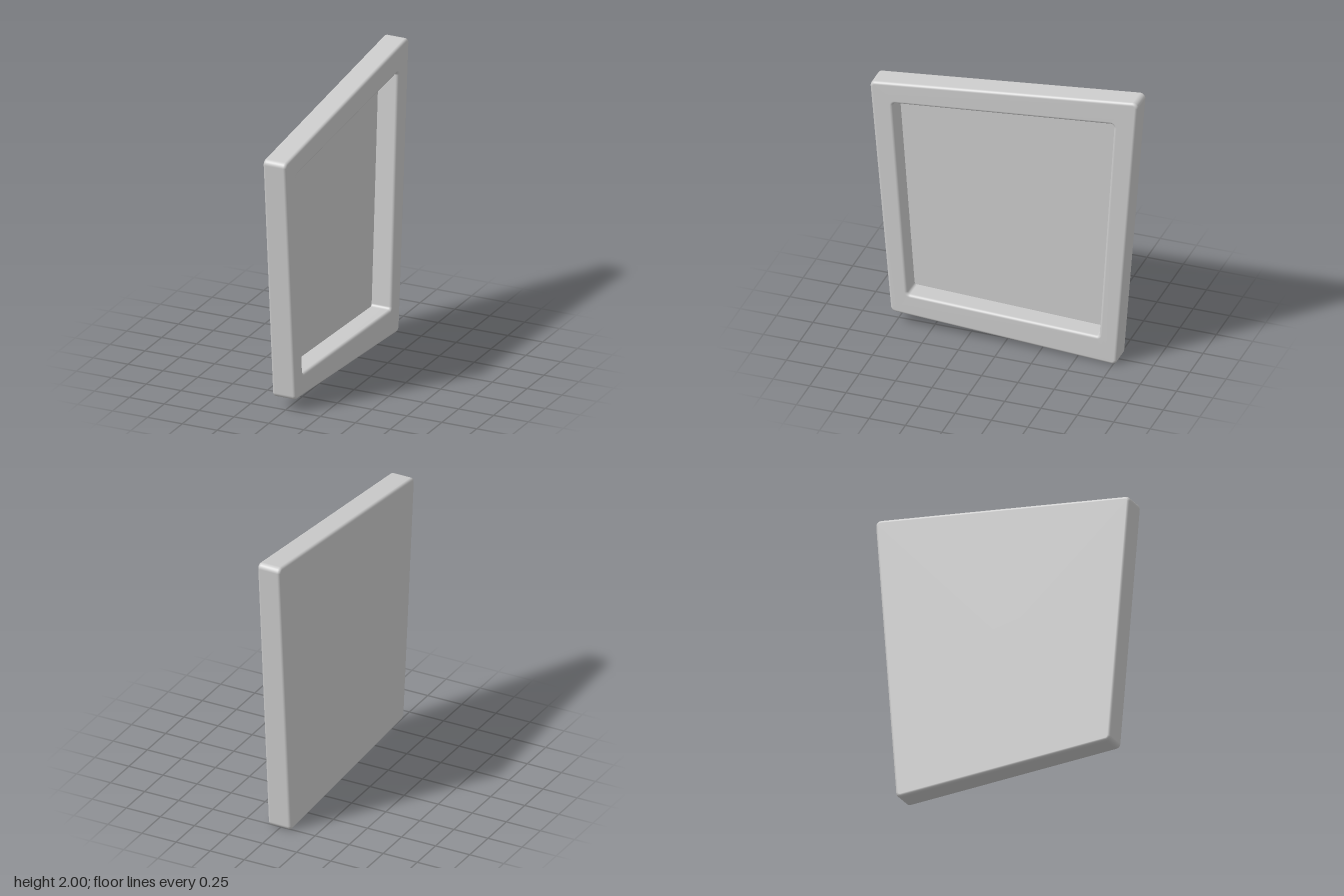
import * as THREE from 'three';

const ARC = 6; // segments per rounded corner

// Sharp corners as (u, y), counter-clockwise seen from +x, where u = -z
const OUTER = [[-0.777, 0.088], [0.772, -0.002], [0.923, 2.003], [-0.923, 1.793]];
const INNER = [[-0.663, 0.237], [0.654, 0.19], [0.757, 1.812], [-0.766, 1.657]];

// Ring of a rounded quad: corner arcs stay centred `inset` inside the quad, with radius r
function ring(quad, inset, r, x) {
  const pts = [];
  const v = quad.map(([u, y]) => new THREE.Vector2(u, y));
  for (let i = 0; i < 4; i++) {
    const p = v[i];
    const d0 = p.clone().sub(v[(i + 3) % 4]).normalize();
    const d1 = v[(i + 1) % 4].clone().sub(p).normalize();
    const c = p.clone().addScaledVector(d1.clone().sub(d0), inset / Math.abs(d0.cross(d1)));
    const a0 = Math.atan2(-d0.x, d0.y);
    const turn = Math.atan2(d0.cross(d1), d0.dot(d1));
    for (let k = 0; k <= ARC; k++) {
      const a = a0 + (turn * k) / ARC;
      pts.push([x, c.y + r * Math.sin(a), -(c.x + r * Math.cos(a))]);
    }
  }
  return pts;
}

// Ring collapsed to one point, closing a flat face
const centre = (x) => Array.from({ length: 4 * (ARC + 1) }, () => [x, 0.97, 0]);

// Skin a list of rings with equal point counts
function loft(rings) {
  const n = rings[0].length, index = [];
  for (let i = 0; i < rings.length - 1; i++) {
    for (let j = 0; j < n; j++) {
      const a = i * n + j, b = i * n + (j + 1) % n;
      index.push(a, b, b + n, a, b + n, a + n);
    }
  }
  const g = new THREE.BufferGeometry();
  g.setAttribute('position', new THREE.Float32BufferAttribute(rings.flat(2), 3));
  g.setIndex(index);
  g.computeVertexNormals();
  return g;
}

export function createModel() {
  const group = new THREE.Group();
  const material = new THREE.MeshStandardMaterial({ color: 0xcccccc });
  const half = 0.083, bevel = 0.02, floorX = -0.06, steps = 5;
  const outerR = 0.035, holeR = 0.02;

  // Frame: flat back, rounded outer edges, front border, then the recess wall
  const rings = [centre(-half)];
  for (const side of [-1, 1]) {
    for (let k = 0; k <= steps; k++) {
      const t = (Math.PI / 2) * (side < 0 ? 1 - k / steps : k / steps);
      rings.push(ring(OUTER, outerR, outerR - bevel * (1 - Math.cos(t)),
        side * (half - bevel * (1 - Math.sin(t)))));
    }
  }
  for (let k = 0; k <= steps; k++) {
    const t = (Math.PI / 2) * (k / steps);
    rings.push(ring(INNER, holeR, holeR + bevel * (1 - Math.sin(t)),
      half - bevel * (1 - Math.cos(t))));
  }
  rings.push(ring(INNER, holeR, holeR, floorX));
  const frame = new THREE.Mesh(loft(rings), material);
  frame.name = 'frame';

  // Sunken panel, kept separate so its border stays crisp
  const panel = new THREE.Mesh(loft([ring(INNER, holeR, holeR, floorX), centre(floorX)]), material);
  panel.name = 'recessedPanel';

  group.add(frame, panel);
  return group;
}
